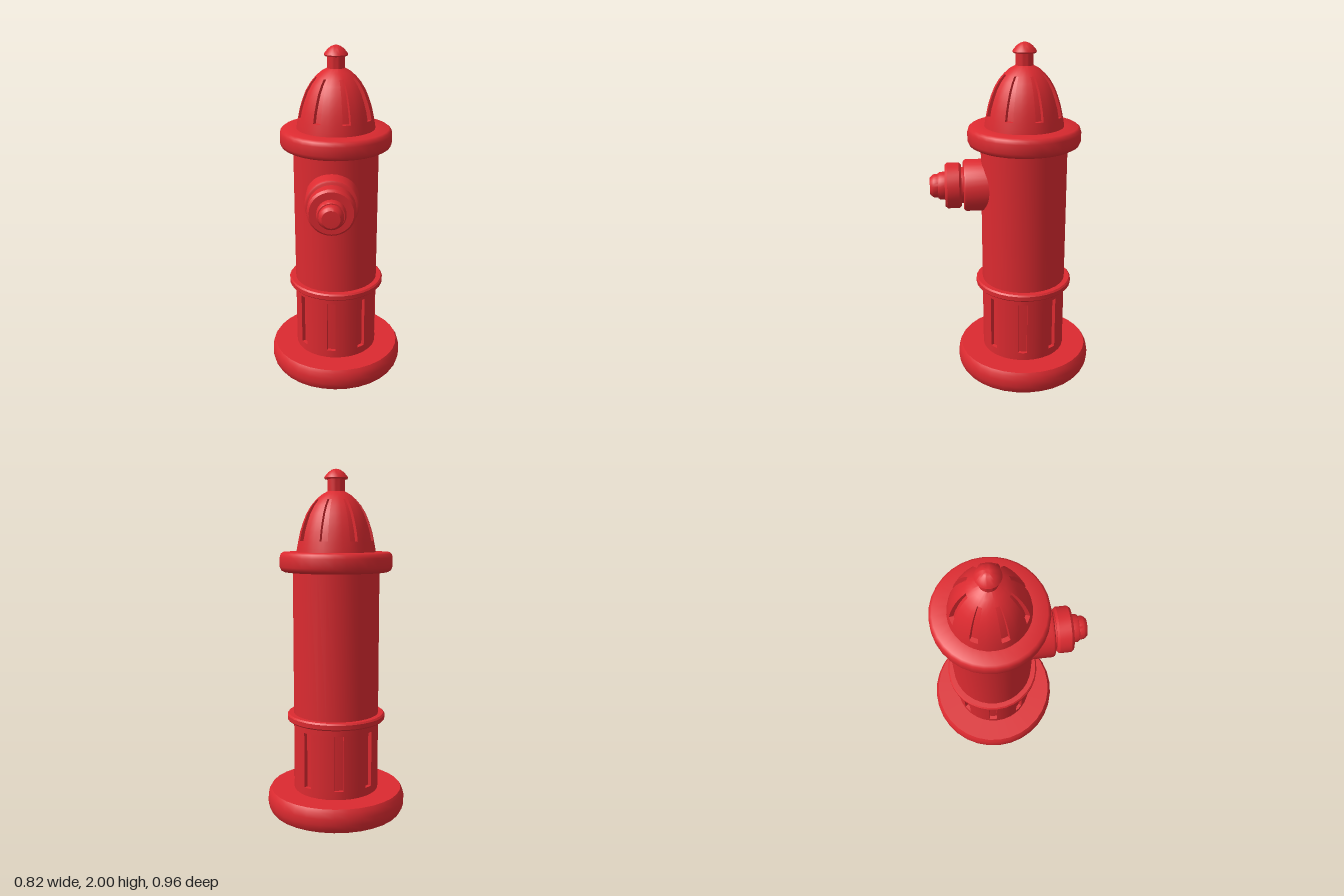
import * as THREE from 'three';
import { toCreasedNormals } from 'three/addons/utils/BufferGeometryUtils.js';

const SIDES = 32;
const red = new THREE.MeshStandardMaterial({ color: 0xdc2a30 });

function part(name, geometry, crease = 0.6) {
  const mesh = new THREE.Mesh(toCreasedNormals(geometry, crease), red);
  mesh.name = name;
  return mesh;
}

// Turned solid from [radius, height] pairs, bottom to top
function turned(name, profile, crease) {
  const points = profile.map(([r, y]) => new THREE.Vector2(r, y));
  return part(name, new THREE.LatheGeometry(points, SIDES), crease);
}

// Turned shell with eight recessed slots.
// profile rows are [radius, height]; rows first..last span the slots.
function slotted(name, profile, first, last, turnDeg, halfDeg, depth) {
  const rows = [];
  profile.forEach(([r, y], i) => {
    if (i === first) rows.push({ r, y, cut: false });
    rows.push({ r, y, cut: i >= first && i <= last });
    if (i === last) rows.push({ r, y, cut: false });
  });

  const columns = [];
  for (let s = 0; s < 8; s++) {
    const mid = turnDeg + s * 45;
    const gap = (45 - 2 * halfDeg) / 3;
    columns.push(
      { a: mid - halfDeg, cut: false },
      { a: mid - halfDeg, cut: true },
      { a: mid, cut: true },
      { a: mid + halfDeg, cut: true },
      { a: mid + halfDeg, cut: false },
      { a: mid + halfDeg + gap, cut: false },
      { a: mid + halfDeg + 2 * gap, cut: false });
  }

  const at = (row, col) => {
    const r = row.r - (row.cut && col.cut ? depth : 0);
    const a = THREE.MathUtils.degToRad(col.a);
    return new THREE.Vector3(r * Math.sin(a), row.y, r * Math.cos(a));
  };
  const positions = [];
  const triangle = (a, b, c) => {
    if (new THREE.Triangle(a, b, c).getArea() < 1e-7) return;
    for (const p of [a, b, c]) positions.push(p.x, p.y, p.z);
  };
  for (let i = 0; i < rows.length - 1; i++) {
    for (let j = 0; j < columns.length; j++) {
      const next = columns[(j + 1) % columns.length];
      const a = at(rows[i], columns[j]), b = at(rows[i], next);
      const c = at(rows[i + 1], next), d = at(rows[i + 1], columns[j]);
      triangle(a, b, c);
      triangle(a, c, d);
    }
  }
  const geometry = new THREE.BufferGeometry();
  geometry.setAttribute('position', new THREE.Float32BufferAttribute(positions, 3));
  return part(name, geometry);
}

export function createModel() {
  const model = new THREE.Group();
  model.name = 'fireHydrant';

  // Upright column, set back so the nozzle balances the depth
  const column = new THREE.Group();
  column.name = 'column';
  column.position.z = -0.07;
  model.add(column);

  column.add(turned('base', [
    [0, 0], [0.387, 0], [0.4, 0.02], [0.408, 0.05], [0.408, 0.085],
    [0.4, 0.118], [0.388, 0.137], [0, 0.137],
  ]));

  column.add(slotted('lowerBarrel',
    [[0.25, 0.12], [0.25, 0.185], [0.25, 0.51], [0.25, 0.56]], 1, 2, -5.7, 5.9, 0.022));

  column.add(turned('barrelBand', [
    [0.24, 0.552], [0.28, 0.552], [0.288, 0.56], [0.288, 0.585],
    [0.28, 0.594], [0.24, 0.594],
  ]));

  column.add(turned('upperBarrel', [[0.25, 0.57], [0.25, 1.45]]));

  column.add(turned('collar', [
    [0.22, 1.423], [0.3, 1.423], [0.317, 1.433], [0.325, 1.453], [0.325, 1.505],
    [0.319, 1.525], [0.306, 1.535], [0.2, 1.535],
  ], 0.75));

  // Domed bonnet with its recessed slots
  column.add(slotted('bonnet', [
    [0.23, 1.52], [0.225, 1.555], [0.217, 1.597], [0.206, 1.65], [0.19, 1.7],
    [0.17, 1.75], [0.143, 1.795], [0.115, 1.828], [0.085, 1.855], [0.05, 1.875],
  ], 2, 7, 17, 6.3, 0.025));

  column.add(turned('topKnob', [
    [0.05, 1.86], [0.05, 1.942], [0.064, 1.942], [0.068, 1.95], [0.064, 1.958],
    [0.045, 1.98], [0.025, 1.994], [0.01, 1.999], [0, 2],
  ]));

  // Front outlet: profile heights run along +z
  const nozzle = new THREE.Group();
  nozzle.name = 'nozzle';
  nozzle.position.set(-0.016, 1.18, 0);
  nozzle.rotation.x = Math.PI / 2;
  nozzle.add(turned('outletPipe', [
    [0.152, 0.02], [0.152, 0.268], [0.147, 0.279], [0.138, 0.284], [0, 0.284],
  ]));
  nozzle.add(turned('outletNeck', [[0.105, 0.27], [0.105, 0.31]]));
  nozzle.add(turned('outletCap', [
    [0, 0.296], [0.122, 0.296], [0.134, 0.309], [0.134, 0.377],
    [0.122, 0.391], [0, 0.391],
  ]));
  nozzle.add(turned('capNut', [
    [0.081, 0.38], [0.081, 0.42], [0.074, 0.431], [0.068, 0.431], [0.068, 0.455],
    [0.062, 0.466], [0.05, 0.478], [0, 0.48],
  ]));
  model.add(nozzle);

  return model;
}
